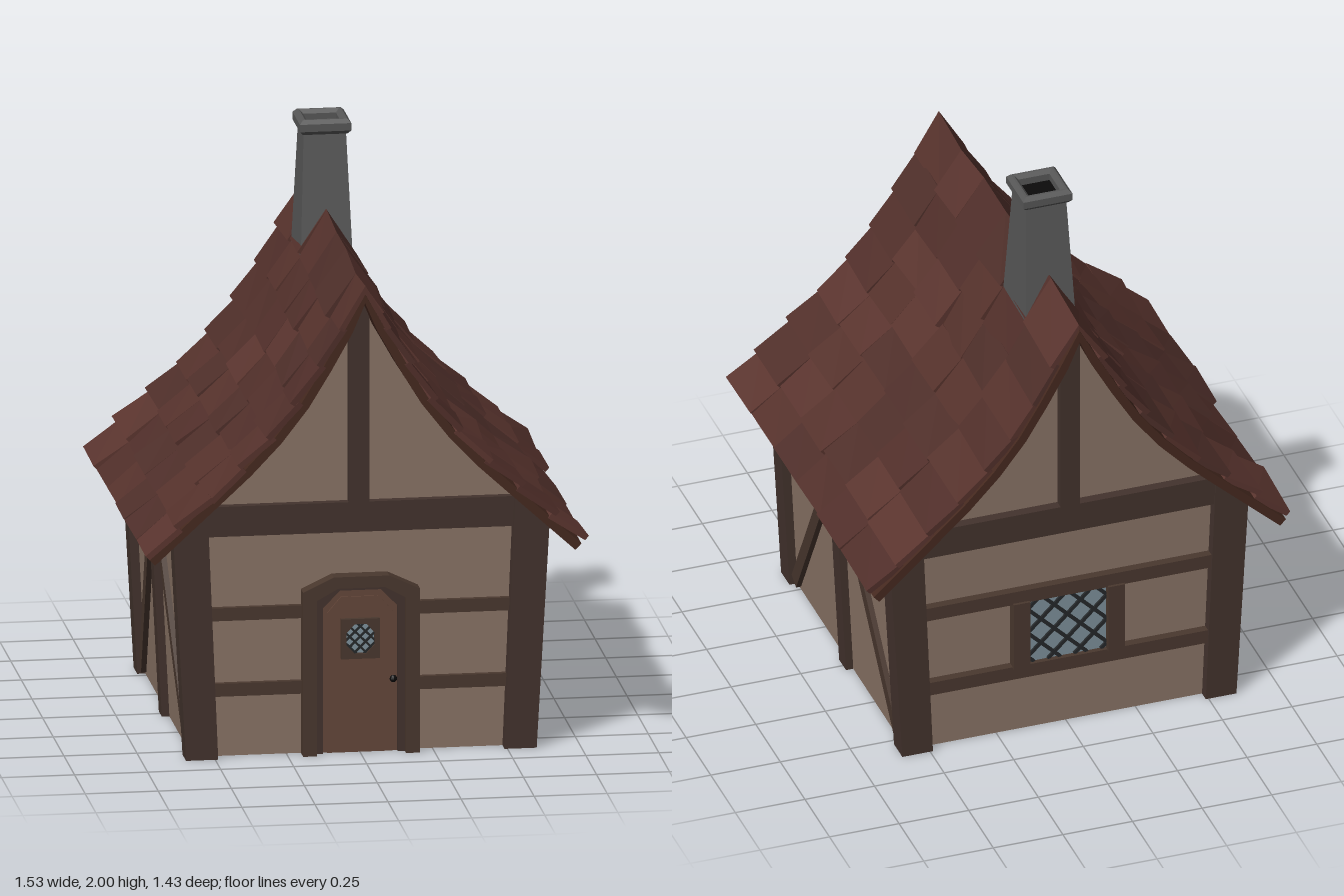
import * as THREE from 'three';

const mat = (color, side = THREE.FrontSide) =>
  new THREE.MeshStandardMaterial({ color, flatShading: true, side });

export function createModel() {
  const house = new THREE.Group();
  const plaster = mat(0x8a7466, THREE.DoubleSide), timber = mat(0x43332d), rail = mat(0x4a382f);
  const doorWood = mat(0x65473a), frameWood = mat(0x4a382e), dark = mat(0x0c0b0b);
  const glass = mat(0x7f929c), lead = mat(0x25282a), stone = mat(0x585858);
  const tileMats = [0x56322c, 0x5b352f, 0x512f2a, 0x4f2f2a].map(c => mat(c));

  const add = (name, geo, material) => {
    const m = new THREE.Mesh(geo, material);
    m.name = name;
    house.add(m);
    return m;
  };
  const edit = (geo, rule) => {
    const p = geo.attributes.position, v = new THREE.Vector3();
    for (let i = 0; i < p.count; i++) {
      rule(v.fromBufferAttribute(p, i));
      p.setXYZ(i, v.x, v.y, v.z);
    }
    geo.computeVertexNormals();
    return geo;
  };
  // The walls lean outwards as they rise
  const flare = geo => edit(geo, v => { v.x *= 1 + 0.087 * Math.min(v.y, 0.85); });
  const box = (w, h, d, x, y, z) => new THREE.BoxGeometry(w, h, d).translate(x, y, z);
  const polygon = pts => new THREE.Shape(pts.map(p => new THREE.Vector2(...p)));
  const mirrored = half => [...half, ...half.map(([x, y]) => [-x, y]).reverse()];
  const extrude = (shape, depth, z) =>
    new THREE.ExtrudeGeometry(shape, { depth, bevelEnabled: false }).translate(0, 0, z);

  // Roof slope curve, from ridge to eave
  const slope = new THREE.CatmullRomCurve3(
    [[0, 1.655], [0.12, 1.43], [0.25, 1.22], [0.4, 1.05], [0.55, 0.91], [0.74, 0.735]]
      .map(([x, y]) => new THREE.Vector3(x, y, 0)));
  const onSlope = (t, off) => {
    const p = slope.getPointAt(t), g = slope.getTangentAt(t);
    if (t < 0.001) return [0, p.y + off * 1.5];
    return [p.x - g.y * off, p.y + g.x * off];
  };
  // Uneven ridge height along the length
  const zCuts = [0.72, 0.49, 0.26, 0.035, -0.19, -0.42, -0.705];
  const sag = [-0.005, -0.022, 0.005, 0.003, 0.02, 0.012, -0.006];
  const warp = v => {
    let i = 0;
    while (i < 5 && v.z < zCuts[i + 1]) i++;
    const f = THREE.MathUtils.clamp((zCuts[i] - v.z) / (zCuts[i] - zCuts[i + 1]), 0, 1);
    v.y += THREE.MathUtils.lerp(sag[i], sag[i + 1], f) * Math.max(0, (v.y - 0.73) / 0.93);
  };

  // Gable walls, the front one cut out for the door
  const steps = [...Array(9).keys()];
  const gableEdge = steps.map(i => onSlope(0.77 * (1 - i / 8), -0.015));
  const gableHalf = [[0.57, 0], [0.612, 0.84], ...gableEdge];
  const doorway = [[-0.15, 0], [-0.15, 0.54], [-0.08, 0.58], [0.08, 0.58], [0.15, 0.54], [0.15, 0]];
  add('frontWall', new THREE.ShapeGeometry(polygon([...doorway, ...mirrored(gableHalf)]))
    .translate(0, 0, 0.575), plaster);
  add('backWall', new THREE.ShapeGeometry(polygon(mirrored(gableHalf))).translate(0, 0, -0.57), plaster);

  // Side walls with posts and braces
  for (const s of [1, -1]) {
    add('sideWall', flare(box(0.01, 0.8, 1.14, s * 0.567, 0.4, 0)), plaster);
    add('middlePost', flare(box(0.06, 0.8, 0.07, s * 0.568, 0.4, 0.005)), timber);
    for (const e of [1, -1]) {
      const dy = 0.72, dz = -0.47 * e;
      add('brace', flare(new THREE.BoxGeometry(0.04, Math.hypot(dy, dz), 0.05)
        .rotateX(Math.atan2(dz, dy)).translate(s * 0.57, 0.385, e * 0.285)), rail);
      const post = flare(box(0.11, 0.88, 0.085, s * 0.545, 0.44, e * 0.574 + 0.008));
      add('cornerPost', edit(post, v => { if (v.y > 0.5 && Math.abs(v.x) > 0.59) v.y = 0.79; }), timber);
    }
  }

  // Timbers on the two gable ends
  for (const e of [1, -1]) {
    const z = e * 0.575;
    add('tieBeam', box(1.06, 0.105, 0.06, 0, 0.828, z), timber);
    add('gablePost', box(0.07, 0.7, 0.06, -0.005, 1.22, z), timber);
  }
  for (const y of [0.235, 0.5]) for (const s of [1, -1])
    add('frontRail', box(0.35, 0.045, 0.04, s * 0.345, y, 0.575), rail);
  for (const y of [0.245, 0.545]) add('backRail', box(1.03, 0.05, 0.05, 0, y, -0.575), rail);

  // Diagonal lead bars clipped to a rectangle
  const lattice = (w, h, gap, bar, y0, z) => {
    for (const s of [1, -1]) for (let c = -w - h; c <= w + h; c += gap) {
      const a = (-h / 2 - c) * s, b = (h / 2 - c) * s;
      const x0 = Math.max(-w / 2, Math.min(a, b)), x1 = Math.min(w / 2, Math.max(a, b));
      if (x1 - x0 < 0.004) continue;
      const xm = (x0 + x1) / 2;
      add('leadBar', new THREE.BoxGeometry((x1 - x0) * Math.SQRT2, bar, bar)
        .rotateZ(s * Math.PI / 4).translate(xm, y0 + s * xm + c, z), lead);
    }
  };

  // Back window
  add('backGlass', box(0.3, 0.26, 0.02, 0, 0.395, -0.572), glass);
  lattice(0.28, 0.25, 0.095, 0.012, 0.395, -0.584);
  for (const s of [1, -1]) add('windowJamb', box(0.06, 0.26, 0.06, s * 0.17, 0.395, -0.58), rail);

  // Door with arched frame
  const arch = (w, shoulder, flat, top) => mirrored([[w, 0], [w, shoulder], [flat, top]]);
  const ring = (outer, inner) => polygon([...outer, ...inner.slice().reverse()]);
  const a0 = arch(0.2, 0.575, 0.095, 0.625), a1 = arch(0.152, 0.545, 0.08, 0.585);
  const a2 = arch(0.128, 0.51, 0.07, 0.57);
  add('doorFrame', extrude(ring(a0, a1), 0.075, 0.555), frameWood);
  add('doorFrameInner', extrude(ring(a1, a2), 0.035, 0.565), timber);
  add('door', extrude(polygon(a2), 0.015, 0.57), doorWood);
  add('doorPanel', extrude(polygon(arch(0.112, 0.49, 0.065, 0.545)), 0.006, 0.584), doorWood);
  add('doorBack', extrude(polygon(a1), 0.008, 0.558), dark);
  add('doorKnob', new THREE.SphereGeometry(0.013, 8, 6).translate(0.113, 0.255, 0.6), dark);
  const hatch = polygon(mirrored([[0.066, 0.33], [0.066, 0.47]]));
  hatch.holes.push(new THREE.Path([...Array(8).keys()].map(i => {
    const a = (i + 0.5) * Math.PI / 4;
    return new THREE.Vector2(0.052 * Math.cos(a), 0.4 + 0.056 * Math.sin(a));
  })));
  add('hatchFrame', extrude(hatch, 0.016, 0.59), frameWood);
  add('hatchGlass', box(0.11, 0.12, 0.006, 0, 0.4, 0.59), glass);
  lattice(0.1, 0.11, 0.036, 0.007, 0.4, 0.596);

  // Roof shell
  const line = off => steps.map(i => onSlope(i / 8, off));
  const across = pts => [...pts.slice(1).reverse().map(([x, y]) => [-x, y]), ...pts];
  const shell = new THREE.ExtrudeGeometry(polygon([...across(line(0)), ...across(line(-0.03)).reverse()]),
    { depth: 1.43, steps: 6, bevelEnabled: false }).translate(0, 0, -0.715);
  add('roofShell', edit(shell, warp), mat(0x46291f));

  // Overlapping roof tiles, lifted by differing amounts
  let seed = 7;
  const rnd = () => (seed = (seed * 16807) % 2147483647) / 2147483647;
  const rows = 8;
  for (const s of [1, -1]) for (let c = 0; c < 6; c++) for (let r = 0; r < rows; r++) {
    const lift = 0.012 + 0.022 * rnd(), tilt = (rnd() - 0.5) * 0.012;
    const t0 = r / rows, t1 = Math.min(1, (r + 1.04 + 0.1 * rnd()) / rows);
    const tile = edit(new THREE.BoxGeometry(1, 1, 1), v => {
      const low = v.x * s > 0, top = v.y > 0, front = v.z > 0;
      const off = (low ? lift + (front ? tilt : -tilt) : 0.012) - (top ? 0 : 0.02);
      const [x, y] = onSlope(low ? t1 : t0, off);
      v.set(s * x, y, front ? zCuts[c] : zCuts[c + 1]);
      warp(v);
    });
    add('roofTile', tile, tileMats[Math.floor(rnd() * tileMats.length)]);
  }

  // Chimney, tapering to a bevelled cap
  const shaft = edit(new THREE.BoxGeometry(1, 0.52, 1), v => {
    const up = v.y > 0;
    v.set(v.x * (up ? 0.145 : 0.185), up ? 1.955 : 1.43, -0.303 + v.z * (up ? 0.135 : 0.25));
  });
  add('chimneyShaft', shaft, stone);
  const square = h => [[-h, -h], [h, -h], [h, h], [-h, h]];
  const cap = polygon(square(0.076));
  cap.holes.push(new THREE.Path(square(0.068).reverse().map(p => new THREE.Vector2(...p))));
  add('chimneyCap', new THREE.ExtrudeGeometry(cap,
    { depth: 0.026, bevelThickness: 0.013, bevelSize: 0.012, bevelSegments: 1 })
    .rotateX(-Math.PI / 2).translate(0, 1.961, -0.303), stone);
  add('chimneyFlue', box(0.125, 0.01, 0.125, 0, 1.957, -0.303), dark);
  return house;
}
